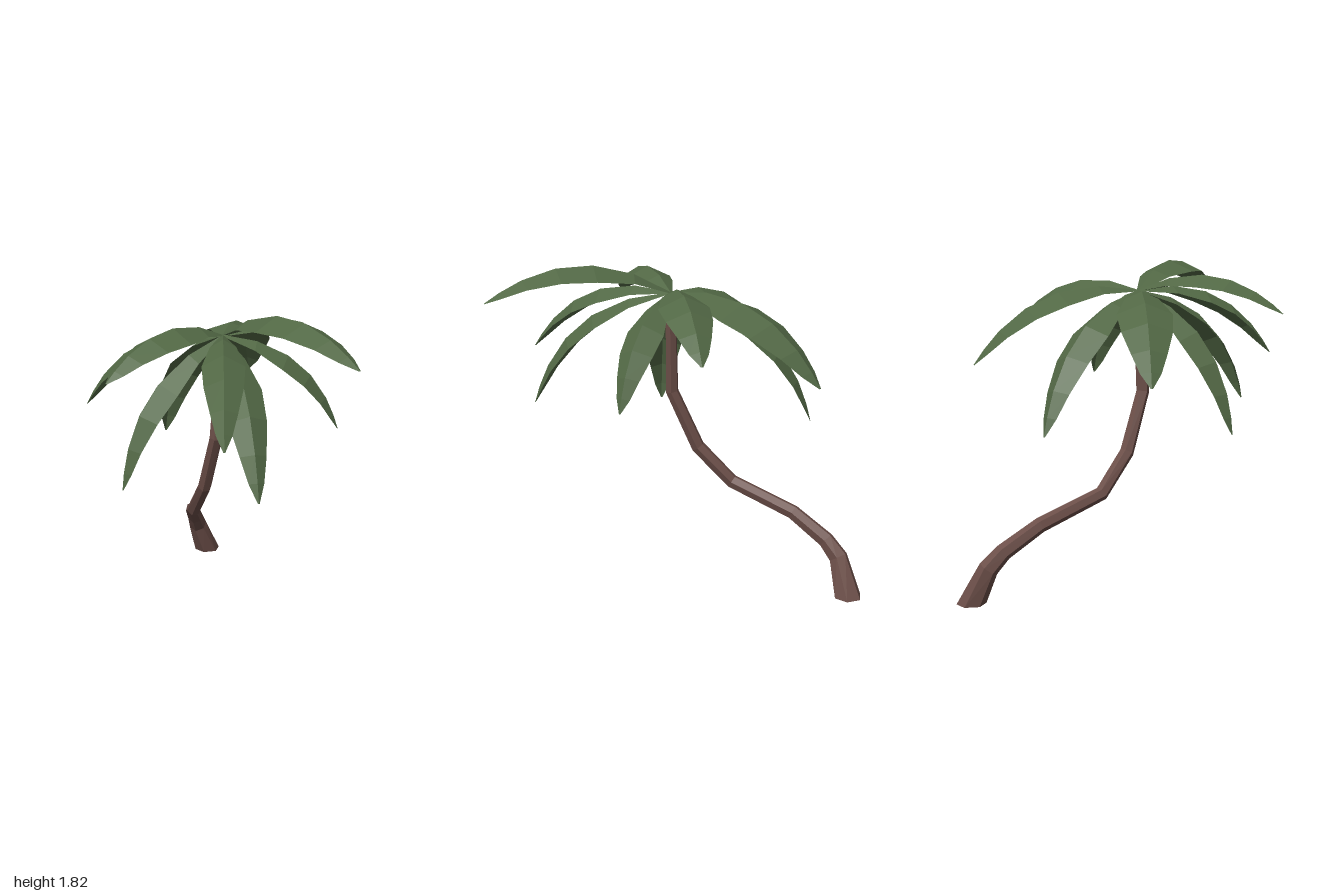
import * as THREE from 'three';

const V = (x, y, z) => new THREE.Vector3(x, y, z);
const CROWN = V(0.04, 1.66, 0.12);

// Facets from a list of points, three per triangle
function facetGeometry(points) {
  const g = new THREE.BufferGeometry().setFromPoints(points);
  g.computeVertexNormals();
  return g;
}

// Six-sided tapering trunk swept along a bent path of [x, y, z, radius]
function trunkGeometry(path, sides = 6) {
  const centres = path.map(p => V(p[0], p[1], p[2]));
  const rings = path.map((p, i) => {
    const last = path.length - 1;
    const t = i === 0 ? V(0, 1, 0)
      : centres[Math.min(i + 1, last)].clone().sub(centres[i]).normalize()
        .add(centres[i].clone().sub(centres[i - 1]).normalize()).normalize();
    const u = V(1, 0, 0).addScaledVector(t, -t.x).normalize();
    const v = t.clone().cross(u);
    return Array.from({ length: sides }, (_, j) => {
      const a = (j + 0.25) / sides * Math.PI * 2;
      return centres[i].clone()
        .addScaledVector(u, Math.cos(a) * p[3]).addScaledVector(v, Math.sin(a) * p[3]);
    });
  });
  const tri = [];
  for (let j = 0; j < sides; j++) {
    const k = (j + 1) % sides;
    for (let i = 0; i < rings.length - 1; i++) {
      const [a, b, c, d] = [rings[i][j], rings[i][k], rings[i + 1][k], rings[i + 1][j]];
      tri.push(a, b, c, a, c, d);
    }
    tri.push(centres[0], rings[0][k], rings[0][j]);
    tri.push(centres[centres.length - 1], rings[rings.length - 1][j], rings[rings.length - 1][k]);
  }
  return facetGeometry(tri);
}

// Frond folded along a spine that bows above the straight line from crown to tip
const PROFILE = [[0, 0.1], [0.2, 0.62], [0.42, 1], [0.62, 0.9], [0.8, 0.62], [0.92, 0.36], [1, 0.04]];
const BOW = 0.172;
function frondGeometry(x, y, z, halfWidth) {
  const chord = V(x, y, z).sub(CROWN);
  const side = V(0, 1, 0).cross(chord).normalize();
  const normal = chord.clone().cross(side); // as long as the chord
  const rows = PROFILE.map(([t, w]) => {
    const spine = CROWN.clone().addScaledVector(chord, t)
      .addScaledVector(normal, 4 * BOW * t * (1 - t));
    const tangent = chord.clone().addScaledVector(normal, 4 * BOW * (1 - 2 * t));
    const down = side.clone().cross(tangent).normalize();
    const edge = s => spine.clone()
      .addScaledVector(side, s * w * halfWidth).addScaledVector(down, 0.066 * w);
    return [edge(1), spine, edge(-1)];
  });
  const tri = [];
  for (let i = 0; i < rows.length - 1; i++) {
    for (let s = 0; s < 2; s++) {
      const [a, b, c, d] = [rows[i][s], rows[i + 1][s], rows[i + 1][s + 1], rows[i][s + 1]];
      tri.push(a, c, b, a, d, c);
    }
  }
  return facetGeometry(tri);
}

export function createModel() {
  const bark = new THREE.MeshStandardMaterial({ color: 0x6b4e48 });
  bark.name = 'bark brown';
  const leaf = new THREE.MeshStandardMaterial({ color: 0x526845, side: THREE.DoubleSide });
  leaf.name = 'leaf green';

  const model = new THREE.Group();
  model.name = 'palmTree';

  // Bent trunk
  const trunk = new THREE.Mesh(trunkGeometry([
    [-0.05, 0, -0.92, 0.08],
    [-0.11, 0.2, -0.84, 0.055],
    [-0.125, 0.285, -0.76, 0.047],
    [-0.14, 0.415, -0.555, 0.042],
    [-0.125, 0.553, -0.185, 0.04],
    [-0.06, 0.76, 0, 0.04],
    [0.005, 1.09, 0.13, 0.037],
    [0.04, 1.64, 0.12, 0.03],
  ]), bark);
  trunk.name = 'trunk';
  model.add(trunk);

  // Crown of fronds: tip position and half width
  const crown = new THREE.Group();
  crown.name = 'crown';
  [
    [0.72, 1.45, -0.36, 0.135],
    [0.67, 1.14, 0.12, 0.105],
    [0.675, 1.65, 0.9, 0.15],
    [0.21, 0.99, 0.905, 0.11],
    [0.04, 1.28, 0.995, 0.11],
    [-0.535, 1.54, 0.71, 0.135],
    [-0.49, 0.89, 0.43, 0.115],
    [-0.73, 1.2, -0.18, 0.15],
    [-0.3, 0.92, -0.59, 0.125],
    [0.21, 1.26, -0.8, 0.19],
  ].forEach((f, i) => {
    const frond = new THREE.Mesh(frondGeometry(...f), leaf);
    frond.name = `frond${i + 1}`;
    crown.add(frond);
  });
  model.add(crown);
  return model;
}
